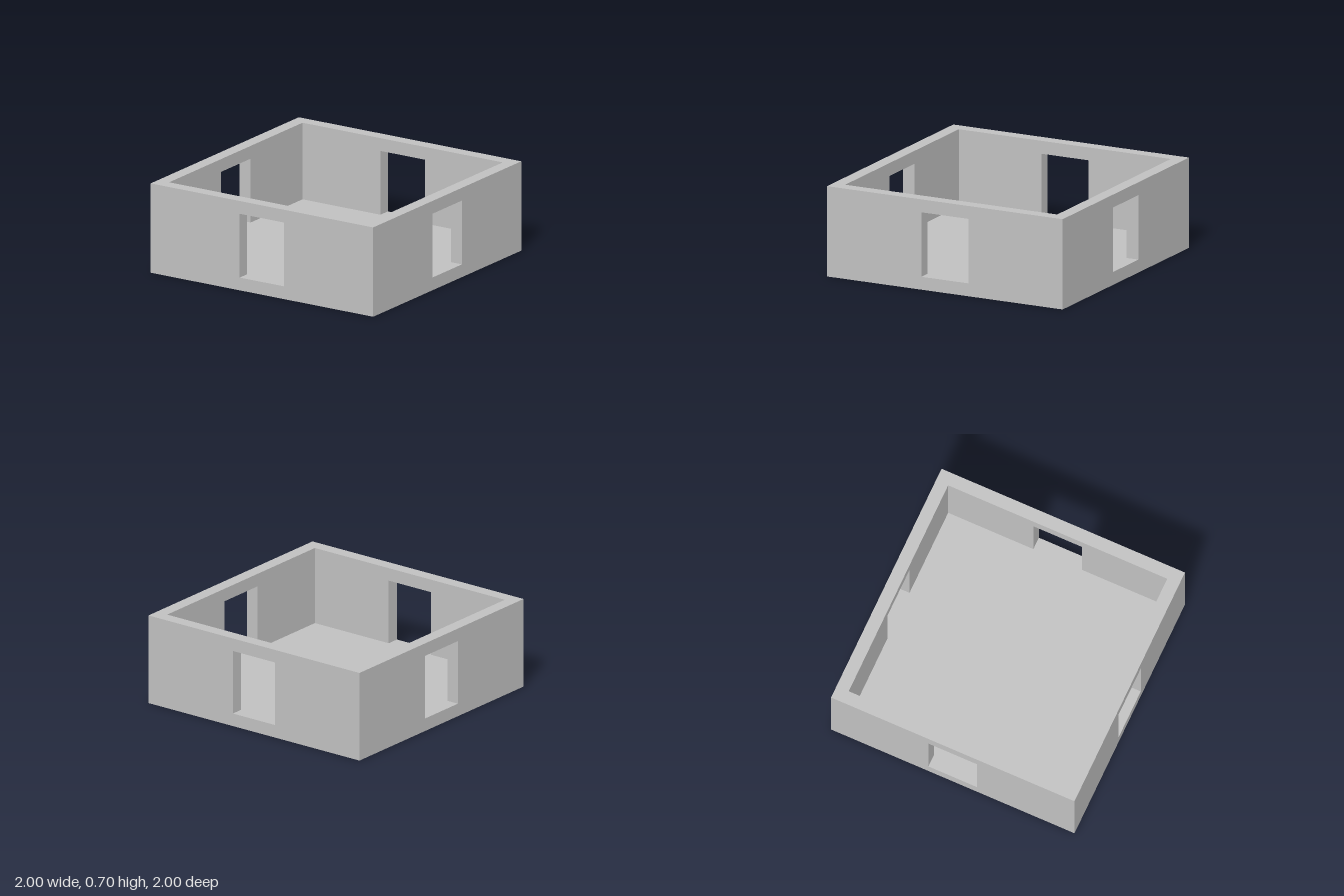
import * as THREE from 'three';
import { mergeGeometries } from 'three/addons/utils/BufferGeometryUtils.js';

const OUT = 1, IN = 0.9, FLOOR = 0.1, TOP = 0.7;   // half widths and heights
const DOOR = 0.2, LINTEL = 0.6;                    // opening half width and head

const polygon = (pts) => pts.map(([x, y]) => new THREE.Vector2(x, y));
const square = (r) => polygon([[-r, -r], [r, -r], [r, r], [-r, r]]);
const plane = (w, h) => new THREE.PlaneGeometry(w, h);

// One side of the room, facing +z: outer face, inner face and the opening's lining
function sideGeometry() {
  const outer = new THREE.Shape(polygon([[-OUT, 0], [OUT, 0], [OUT, TOP], [-OUT, TOP]]));
  outer.holes.push(new THREE.Path(polygon(
    [[-DOOR, FLOOR], [-DOOR, LINTEL], [DOOR, LINTEL], [DOOR, FLOOR]])));
  const inner = new THREE.Shape(polygon([
    [-IN, FLOOR], [-DOOR, FLOOR], [-DOOR, LINTEL], [DOOR, LINTEL],
    [DOOR, FLOOR], [IN, FLOOR], [IN, TOP], [-IN, TOP]]));

  const depth = OUT - IN, mid = (OUT + IN) / 2;
  const height = LINTEL - FLOOR, midY = (LINTEL + FLOOR) / 2;
  return mergeGeometries([
    new THREE.ShapeGeometry(outer).translate(0, 0, OUT),
    new THREE.ShapeGeometry(inner).rotateY(Math.PI).translate(0, 0, IN),
    plane(depth, height).rotateY(Math.PI / 2).translate(-DOOR, midY, mid),
    plane(depth, height).rotateY(-Math.PI / 2).translate(DOOR, midY, mid),
    plane(2 * DOOR, depth).rotateX(Math.PI / 2).translate(0, LINTEL, mid),
    plane(2 * DOOR, depth).rotateX(-Math.PI / 2).translate(0, FLOOR, mid),
  ]);
}

export function createModel() {
  const model = new THREE.Group();
  model.name = 'openRoom';
  const grey = new THREE.MeshStandardMaterial({ color: 0xc0c0c0 });
  grey.name = 'light grey';

  const add = (name, geometry) => {
    const mesh = new THREE.Mesh(geometry, grey);
    mesh.name = name;
    model.add(mesh);
    return mesh;
  };

  // Four identical walls, each with a central opening
  const side = sideGeometry();
  ['frontWall', 'leftWall', 'backWall', 'rightWall'].forEach((name, i) => {
    add(name, side).rotation.y = i * Math.PI / 2;
  });

  // Flat top of the walls
  const rim = new THREE.Shape(square(OUT));
  rim.holes.push(new THREE.Path(square(IN).reverse()));
  add('wallTop', new THREE.ShapeGeometry(rim).rotateX(-Math.PI / 2).translate(0, TOP, 0));

  // Floor and underside
  add('floor', plane(2 * IN, 2 * IN).rotateX(-Math.PI / 2).translate(0, FLOOR, 0));
  add('underside', plane(2 * OUT, 2 * OUT).rotateX(Math.PI / 2));

  return model;
}
